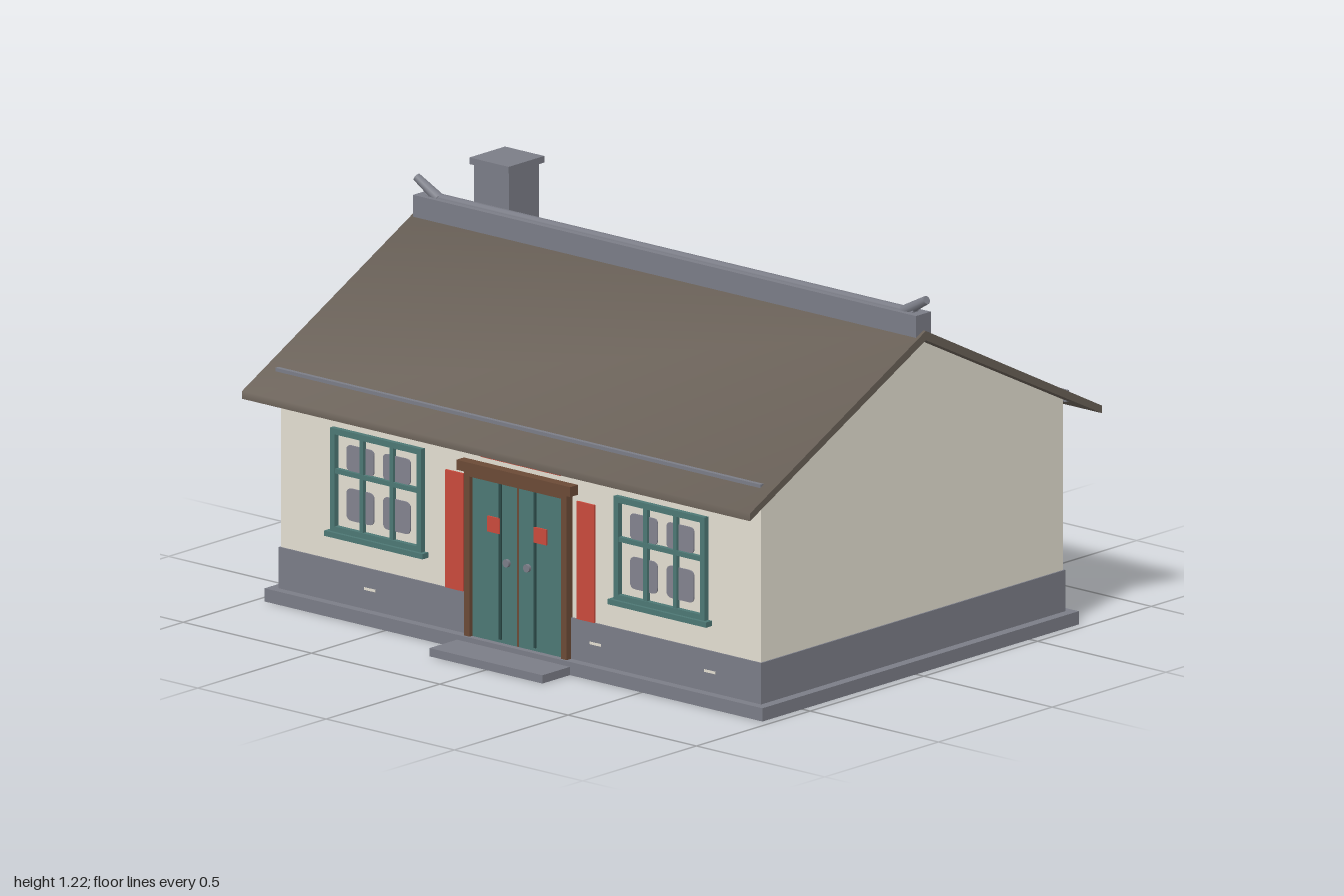
import * as THREE from 'three';
import { toCreasedNormals } from 'three/addons/utils/BufferGeometryUtils.js';

const paint = (name, color) => {
  const m = new THREE.MeshStandardMaterial({ color });
  m.name = name;
  return m;
};

export function createModel() {
  const plaster = paint('cream plaster', 0xe4dfd2);
  const stone = paint('grey stone', 0x7b7d87);
  const tile = paint('brown roof', 0x6a6158);
  const teal = paint('teal paint', 0x4d7875);
  const darkTeal = paint('dark teal', 0x2c4a48);
  const wood = paint('brown wood', 0x6b4a36);
  const red = paint('red paper', 0xca4a3c);
  const glass = paint('grey glass', 0x83838f);

  const house = new THREE.Group();
  house.name = 'cottage';

  const add = (name, geo, mat, parent = house) => {
    const mesh = new THREE.Mesh(geo, mat);
    mesh.name = name;
    parent.add(mesh);
    return mesh;
  };
  // Box given by its limits on each axis
  const box = (name, mat, x0, x1, y0, y1, z0, z1, parent) => {
    const geo = new THREE.BoxGeometry(x1 - x0, y1 - y0, z1 - z0);
    geo.translate((x0 + x1) / 2, (y0 + y1) / 2, (z0 + z1) / 2);
    return add(name, geo, mat, parent);
  };
  // Profile of [z, y] points extruded along x
  const alongX = (points, length) => {
    const shape = new THREE.Shape(points.map(p => new THREE.Vector2(...p)));
    const geo = new THREE.ExtrudeGeometry(shape, { depth: length, bevelEnabled: false });
    return geo.translate(0, 0, -length / 2).rotateY(-Math.PI / 2);
  };

  // Foundation: a slab on a thin rim, hollow underneath
  box('foundation', stone, -0.97, 0.97, 0.034, 0.04, -0.715, 0.676);
  for (const s of [-1, 1]) {
    box('foundationSide', stone, s * 0.968 - 0.002, s * 0.968 + 0.002, 0, 0.034, -0.715, 0.676);
  }
  box('foundationFront', stone, -0.966, 0.966, 0, 0.034, 0.672, 0.676);
  box('foundationBack', stone, -0.966, 0.966, 0, 0.034, -0.715, -0.711);

  // Plinth with small cream mortar marks, and doorstep
  box('plinth', stone, -0.94, 0.94, 0.04, 0.165, -0.69, 0.648);
  for (const x of [-0.585, 0.295, 0.74]) {
    box('mortarMark', plaster, x - 0.022, x + 0.022, 0.098, 0.106, 0.645, 0.649);
  }
  box('doorstep', stone, -0.22, 0.22, 0, 0.025, 0.676, 0.797);

  // Gabled walls and roof
  add('walls', alongX([[0.643, 0.16], [0.643, 0.685], [-0.02, 1.016], [-0.685, 0.685], [-0.685, 0.16]], 1.87), plaster);
  const roof = alongX([[0.753, 0.65], [-0.02, 1.04], [-0.795, 0.65], [-0.795, 0.627], [-0.02, 1.012], [0.753, 0.627]], 1.98);
  add('roof', toCreasedNormals(roof, 1.2), tile);
  box('frontRoofStrip', stone, -0.945, 0.945, 0.675, 0.709, 0.643, 0.657);
  box('backRoofStrip', stone, -0.945, 0.945, 0.675, 0.709, -0.7, -0.686);

  // Ridge with upturned ends
  box('ridge', stone, -0.98, 0.98, 1.02, 1.09, -0.053, 0.012);
  const cap = new THREE.CylinderGeometry(0.014, 0.014, 1.9, 10).rotateZ(Math.PI / 2);
  add('ridgeCap', cap, stone).position.set(0, 1.087, -0.02);
  for (const s of [-1, 1]) {
    const tip = add('ridgeTip', new THREE.CylinderGeometry(0.013, 0.018, 0.1, 10), stone);
    tip.position.set(s * 0.95, 1.11, -0.02);
    tip.rotation.z = -s * 1.05;
  }

  // Chimney
  box('chimney', stone, -0.81, -0.675, 0.9, 1.2, -0.198, -0.065);
  box('chimneyCap', stone, -0.818, -0.665, 1.2, 1.22, -0.21, -0.053);

  // Rounded pane, centred on the origin
  const paneGeo = (w, h) => {
    const r = Math.min(w, h) * 0.2, a = w / 2, b = h / 2;
    const s = new THREE.Shape();
    s.moveTo(-a + r, -b).lineTo(a - r, -b).quadraticCurveTo(a, -b, a, -b + r);
    s.lineTo(a, b - r).quadraticCurveTo(a, b, a - r, b).lineTo(-a + r, b);
    s.quadraticCurveTo(-a, b, -a, b - r).lineTo(-a, -b + r).quadraticCurveTo(-a, -b, -a + r, -b);
    return new THREE.ExtrudeGeometry(s, { depth: 0.004, bevelEnabled: false, curveSegments: 4 });
  };
  // Window facing +z, centred on its own origin
  const makeWindow = (name, w, h, bar) => {
    const g = new THREE.Group();
    g.name = name;
    const a = w / 2, b = h / 2, t = bar / 2;
    for (const s of [-1, 1]) {
      const x = s * (a - t), y = s * (b - t), m = s * w * 0.163;
      box('frameSide', teal, x - t, x + t, -b, b, -0.005, 0.016, g);
      box('frameRail', teal, -a, a, y - t, y + t, -0.005, 0.016, g);
      box('mullion', teal, m - t * 0.8, m + t * 0.8, -b, b, -0.005, 0.013, g);
      for (const v of [-1, 1]) {
        const pane = add('pane', paneGeo(w * 0.3, h * (v > 0 ? 0.25 : 0.31)), glass, g);
        pane.position.set(s * w * 0.2, h * (v > 0 ? 0.235 : -0.21), 0);
      }
    }
    box('crossbar', teal, -a, a, h * 0.09 - t * 0.8, h * 0.09 + t * 0.8, -0.005, 0.014, g);
    box('sill', teal, -a - 0.014, a + 0.014, -b - 0.014, -b + 0.002, -0.005, 0.026, g);
    house.add(g);
    return g;
  };
  for (const s of [-1, 1]) {
    makeWindow('frontWindow', 0.355, 0.315, 0.018).position.set(s * 0.5525, 0.4115, 0.643);
  }
  const back = makeWindow('backWindow', 0.235, 0.21, 0.014);
  back.position.set(0, 0.44, -0.685);
  back.rotation.y = Math.PI;
  const side = makeWindow('sideWindow', 0.235, 0.21, 0.014);
  side.position.set(-0.935, 0.44, -0.02);
  side.rotation.y = -Math.PI / 2;

  // Double door with frame, handles and red papers
  box('doorLintel', wood, -0.222, 0.222, 0.54, 0.57, 0.64, 0.677);
  box('doorHead', wood, -0.2, 0.2, 0.525, 0.54, 0.64, 0.668);
  box('doorGap', wood, -0.004, 0.004, 0.04, 0.525, 0.64, 0.656);
  for (const s of [-1, 1]) {
    const mirrored = (name, mat, a, b, ...rest) =>
      box(name, mat, Math.min(s * a, s * b), Math.max(s * a, s * b), ...rest);
    mirrored('doorPost', wood, 0.178, 0.2, 0.03, 0.525, 0.64, 0.668);
    mirrored('doorLeaf', teal, 0.004, 0.178, 0.04, 0.525, 0.64, 0.656);
    mirrored('doorGroove', darkTeal, 0.063, 0.072, 0.05, 0.525, 0.655, 0.66);
    mirrored('doorPaper', red, 0.066, 0.115, 0.37, 0.417, 0.655, 0.662);
    mirrored('redBanner', red, 0.221, 0.29, 0.165, 0.522, 0.642, 0.649);
    const knob = add('doorKnob', new THREE.CylinderGeometry(0.012, 0.012, 0.012, 12), stone);
    knob.rotation.x = Math.PI / 2;
    knob.position.set(s * 0.04, 0.287, 0.66);
  }
  box('redTopBanner', red, -0.155, 0.155, 0.585, 0.64, 0.641, 0.646);

  return house;
}
